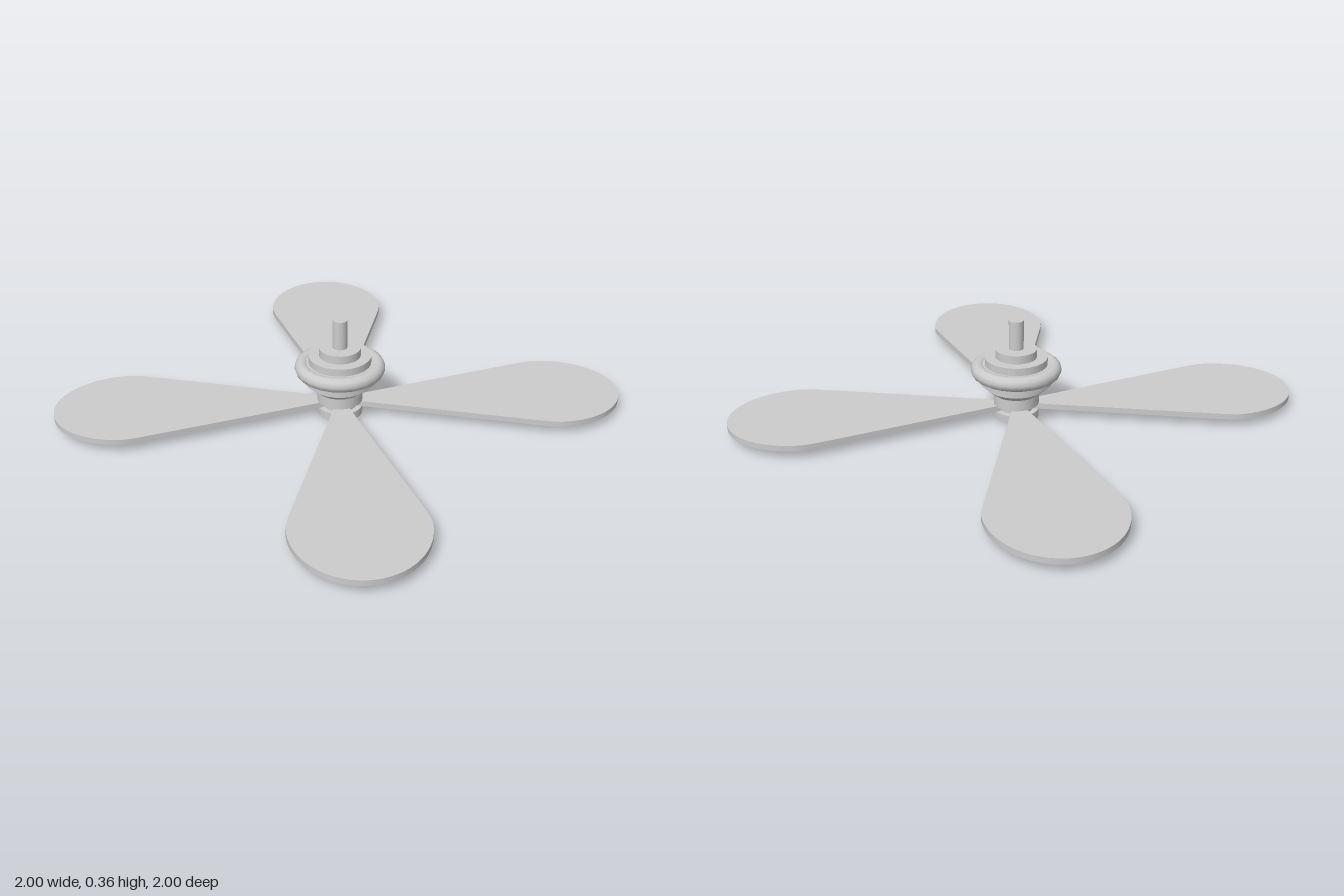
import * as THREE from 'three';
import { toCreasedNormals } from 'three/addons/utils/BufferGeometryUtils.js';

const material = new THREE.MeshStandardMaterial({ color: 0xcccccc });

function addMesh(parent, name, geometry) {
  const mesh = new THREE.Mesh(geometry, material);
  mesh.name = name;
  parent.add(mesh);
  return mesh;
}

// Upright round section between two heights
function addDisc(parent, name, y0, y1, rBottom, rTop = rBottom) {
  const mesh = addMesh(parent, name, new THREE.CylinderGeometry(rTop, rBottom, y1 - y0, 24));
  mesh.position.y = (y0 + y1) / 2;
}

// Paddle outline: narrow root, straight flare, rounded tip
function bladeGeometry() {
  const shape = new THREE.Shape();
  shape.moveTo(0.03, -0.015);
  shape.lineTo(0.66, -0.2);
  shape.quadraticCurveTo(0.71, -0.215, 0.745, -0.22);
  shape.absellipse(0.745, 0, 0.255, 0.22, -Math.PI / 2, Math.PI / 2, false, 0);
  shape.quadraticCurveTo(0.71, 0.215, 0.66, 0.2);
  shape.lineTo(0.03, 0.015);
  shape.closePath();
  const geometry = new THREE.ExtrudeGeometry(shape, { depth: 0.02, bevelEnabled: false, curveSegments: 16 });
  geometry.rotateX(-Math.PI / 2);
  geometry.translate(0, 0.03, 0);
  return toCreasedNormals(geometry, 0.6);
}

export function createModel() {
  const fan = new THREE.Group();
  fan.name = 'ceilingFan';

  // Four flat blades
  const blade = bladeGeometry();
  for (let i = 0; i < 4; i++) {
    addMesh(fan, 'blade', blade).rotation.y = i * Math.PI / 2;
  }

  // Stepped hub and motor housing, bottom to top
  addDisc(fan, 'hubCap', 0, 0.03, 0.08);
  addDisc(fan, 'hubCore', 0.03, 0.05, 0.06);
  addDisc(fan, 'hub', 0.05, 0.09, 0.08);
  addDisc(fan, 'hubFlare', 0.09, 0.112, 0.08, 0.107);
  addDisc(fan, 'lowerCollar', 0.112, 0.132, 0.107);
  addDisc(fan, 'motorHousing', 0.132, 0.198, 0.128);
  addDisc(fan, 'upperPlate', 0.198, 0.225, 0.11);
  addDisc(fan, 'topPlate', 0.225, 0.255, 0.073);
  addDisc(fan, 'downRod', 0.255, 0.36, 0.026);

  // Rounded rim around the motor
  const rim = new THREE.TorusGeometry(0.133, 0.026, 10, 24).rotateX(Math.PI / 2);
  addMesh(fan, 'motorRim', rim).position.y = 0.178;

  return fan;
}
